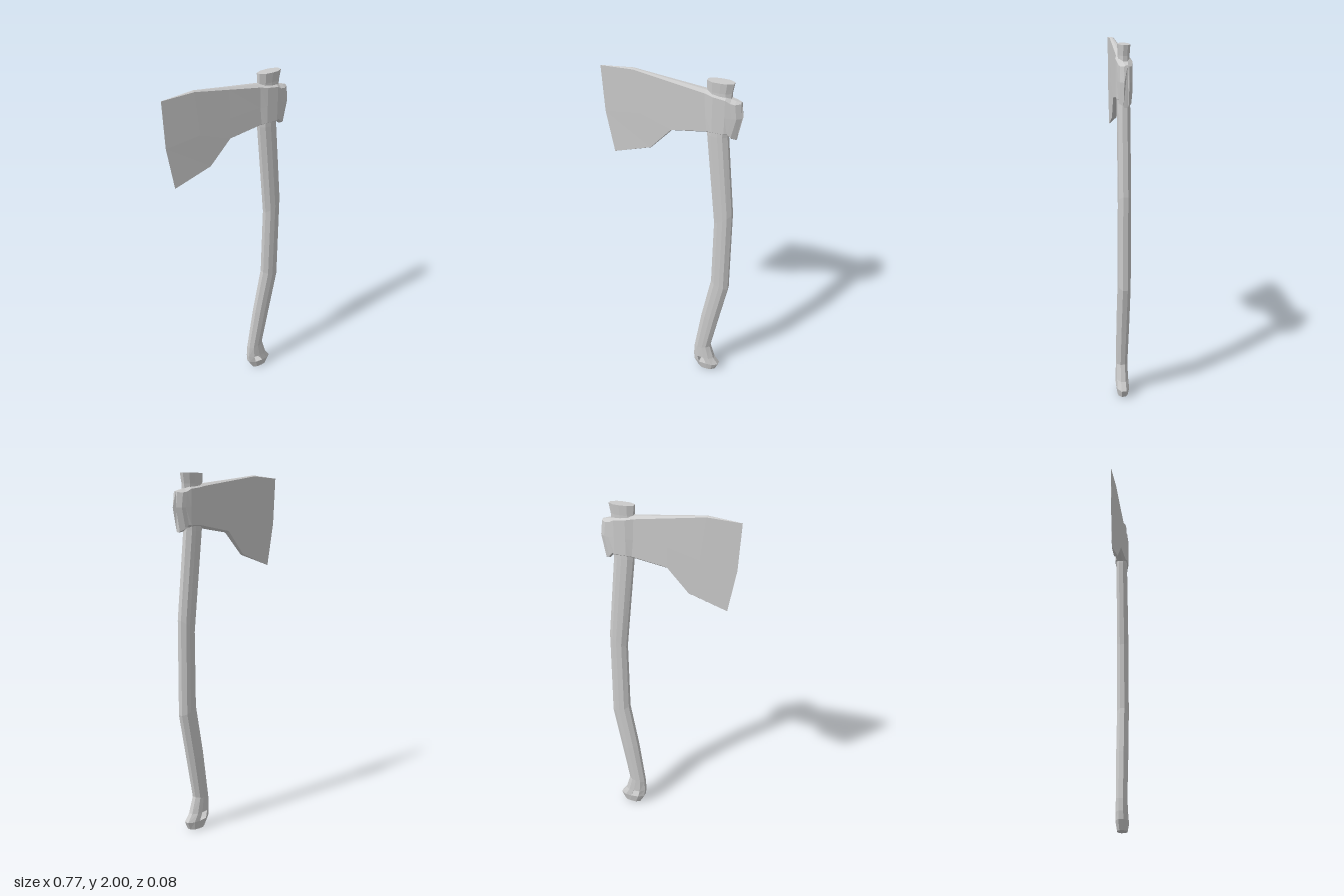
import * as THREE from 'three';

const material = new THREE.MeshStandardMaterial({ color: 0xcccccc, flatShading: true });

// Joins rings of equal point count; skip(i, j) leaves a facet open, extra adds quads
function loft(name, rings, skip = () => false, extra = []) {
  const pos = [];
  const tri = (...pts) => pts.forEach((p) => pos.push(...p));
  const quad = (a, b, c, d) => { tri(a, b, c); tri(a, c, d); };
  const n = rings[0].length;
  for (let i = 0; i < rings.length - 1; i++) {
    for (let j = 0; j < n; j++) {
      const k = (j + 1) % n;
      if (!skip(i, j)) quad(rings[i][j], rings[i][k], rings[i + 1][k], rings[i + 1][j]);
    }
  }
  // End caps
  const first = rings[0], last = rings[rings.length - 1];
  for (let j = 1; j < n - 1; j++) {
    tri(first[0], first[j + 1], first[j]);
    tri(last[0], last[j], last[j + 1]);
  }
  extra.forEach((q) => quad(...q));
  const geometry = new THREE.BufferGeometry();
  geometry.setAttribute('position', new THREE.Float32BufferAttribute(pos, 3));
  geometry.computeVertexNormals();
  const mesh = new THREE.Mesh(geometry, material);
  mesh.name = name;
  return mesh;
}

// Ten-sided oval section between a left and a right point
function handleRing([x0, y0, x1, y1, h]) {
  const along = [0, 0.23, 0.54, 0.78, 1];
  const width = [0.38, 0.92, 1, 0.92, 0.38];
  const side = (s) => along.map((f, i) => [x0 + (x1 - x0) * f, y0 + (y1 - y0) * f, s * h * width[i]]);
  return [...side(1), ...side(-1).reverse()];
}

function makeHandle() {
  // left x, left y, right x, right y, half depth
  const rings = [
    [0.2, 0, 0.305, 0.005, 0.029],
    [0.17, 0.055, 0.325, 0.05, 0.037],
    [0.165, 0.1, 0.293, 0.095, 0.035],
    [0.167, 0.17, 0.265, 0.19, 0.032],
    [0.207, 0.45, 0.308, 0.42, 0.035],
    [0.258, 0.73, 0.36, 0.69, 0.035],
    [0.262, 1.15, 0.36, 1.22, 0.035],
    [0.205, 1.7, 0.315, 1.7, 0.034],
    [0.198, 1.945, 0.325, 1.945, 0.028],
    [0.195, 2, 0.335, 2, 0.031],
  ].map(handleRing);
  // Lanyard hole: open one facet on each face and line the passage
  const [lo, hi] = [rings[1], rings[2]];
  const front = [lo[1], lo[2], hi[2], hi[1]];
  const back = [lo[8], lo[7], hi[7], hi[8]];
  const walls = front.map((p, i) => {
    const k = (i + 1) % 4;
    return [p, front[k], back[k], back[i]];
  });
  return loft('handle', rings, (i, j) => i === 1 && (j === 1 || j === 7), walls);
}

// Upright head section with chamfered top and bottom edges
function headRing([tx, ty, mx, my, bx, by, w]) {
  const c = w * 0.45, e = w * 0.35;
  return [
    [tx, ty, -e], [tx, ty, e], [tx, ty - c, w], [mx, my, w], [bx, by + c, w],
    [bx, by, e], [bx, by, -e], [bx, by + c, -w], [mx, my, -w], [tx, ty - c, -w],
  ];
}

function makeHead() {
  // top x y, middle x y, bottom x y, half thickness
  const rings = [
    [-0.385, 1.98, -0.37, 1.72, -0.325, 1.48, 0.0006],
    [-0.2, 1.995, -0.17, 1.75, -0.11, 1.55, 0.0115],
    [0, 1.97, 0.005, 1.8, 0.01, 1.68, 0.02],
    [0.19, 1.947, 0.195, 1.82, 0.205, 1.71, 0.029],
    [0.235, 1.943, 0.235, 1.82, 0.235, 1.71, 0.039],
    [0.3, 1.935, 0.3, 1.82, 0.3, 1.71, 0.04],
    [0.325, 1.918, 0.335, 1.82, 0.315, 1.715, 0.035],
    [0.35, 1.912, 0.36, 1.82, 0.335, 1.695, 0.031],
    [0.376, 1.905, 0.385, 1.82, 0.36, 1.69, 0.013],
  ].map(headRing);
  return loft('axeHead', rings);
}

export function createModel() {
  const group = new THREE.Group();
  group.name = 'axe';
  group.add(makeHandle(), makeHead());
  return group;
}
